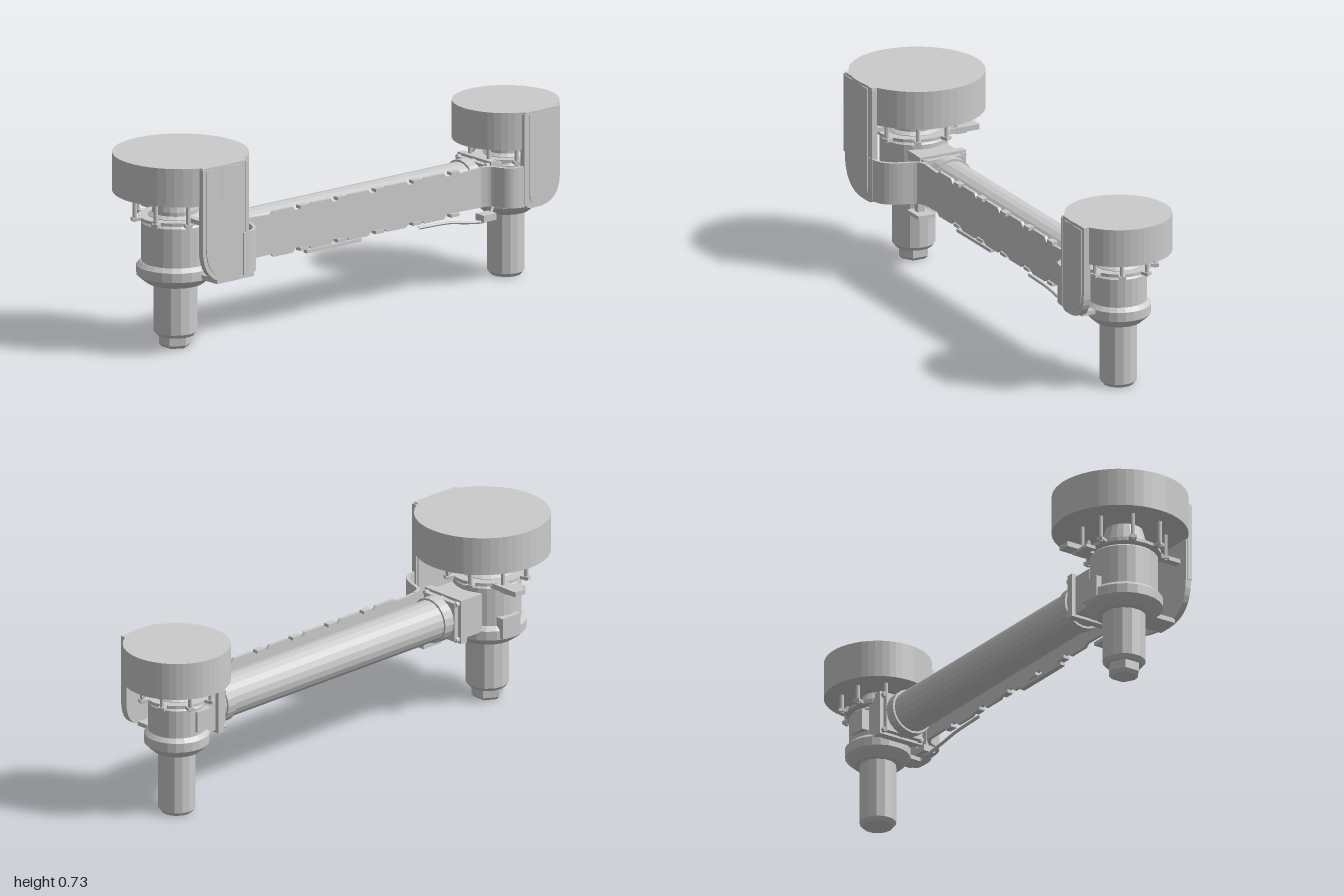
import * as THREE from 'three';

const mat = new THREE.MeshStandardMaterial({ color: 0xcccccc, flatShading: true, side: THREE.DoubleSide });

export function createModel() {
  const root = new THREE.Group();

  const add = (parent, name, geo, x = 0, y = 0, z = 0) => {
    const m = new THREE.Mesh(geo, mat);
    m.name = name;
    m.position.set(x, y, z);
    parent.add(m);
    return m;
  };
  const box = (p, name, w, h, d, x, y, z) => add(p, name, new THREE.BoxGeometry(w, h, d), x, y, z);
  // Upright turned part from [radius, height] pairs
  const turned = (p, name, pts, seg, x = 0) =>
    add(p, name, new THREE.LatheGeometry(pts.map(([r, y]) => new THREE.Vector2(r, y)), seg), x);
  // Vertical plate in x/y, extruded towards +z
  const plate = (p, name, shape, depth, z) =>
    add(p, name, new THREE.ExtrudeGeometry(shape, { depth, bevelEnabled: false, curveSegments: 8 }), 0, 0, z);
  const polygon = pts => new THREE.Shape(pts.map(([x, y]) => new THREE.Vector2(x, y)));
  const tube = (p, name, pts, r) =>
    add(p, name, new THREE.TubeGeometry(new THREE.CatmullRomCurve3(pts.map(q => new THREE.Vector3(...q))), 24, r, 6));
  // Upright wall that follows a path in x/z
  const wall = (p, name, path, y, h, t) => {
    const pts = new THREE.SplineCurve(path.map(([x, z]) => new THREE.Vector2(x, -z))).getPoints(16);
    const off = pts.map((q, i) => {
      const a = pts[Math.max(i - 1, 0)], b = pts[Math.min(i + 1, 16)];
      const d = b.clone().sub(a).normalize();
      return new THREE.Vector2(q.x - d.y * t, q.y + d.x * t);
    });
    const geo = new THREE.ExtrudeGeometry(new THREE.Shape([...pts, ...off.reverse()]), { depth: h, bevelEnabled: false });
    return add(p, name, geo.rotateX(-Math.PI / 2), 0, y, 0);
  };
  // Cover outline: straight top, large round lower outer corner
  const coverShape = (inner, outer, bottom, top, r) => {
    const s = Math.sign(outer - inner), c = Math.min(0.03, r);
    const sh = new THREE.Shape();
    sh.moveTo(inner, top);
    sh.lineTo(outer, top);
    sh.lineTo(outer, bottom + r);
    sh.quadraticCurveTo(outer, bottom, outer - s * r, bottom);
    sh.lineTo(inner + s * c, bottom);
    sh.quadraticCurveTo(inner, bottom, inner, bottom + c);
    sh.closePath();
    return sh;
  };

  // One joint: drum, neck, housing, flange, motor, standoffs
  const joint = (name, o) => {
    const g = new THREE.Group();
    g.name = name;
    root.add(g);
    add(g, 'drum', new THREE.CylinderGeometry(o.drumR, o.drumR, o.top - o.drumY, 48), o.drumX, (o.top + o.drumY) / 2, 0);
    const { R, F, M, x, hy, drumY } = o;
    turned(g, 'neck', [[0, hy], [R * 0.8, hy], [R * 0.8, hy + 0.02], [R * 0.68, hy + 0.03],
      [R * 0.68, hy + 0.045], [R * 0.55, drumY]], 20, x);
    turned(g, 'housing', [[0, 0.3], [R, 0.3], [R, hy - 0.008], [R - 0.008, hy], [0, hy]], 24, x);
    turned(g, 'flange', [[0, 0.243], [F * 0.72, 0.243], [F * 0.9, 0.262], [F, 0.275], [F, 0.31], [F - 0.015, 0.325], [0, 0.325]], 24, x);
    turned(g, 'motor', [[0, o.motorY], [M - 0.012, o.motorY], [M, o.motorY + 0.014], [M, 0.25], [0, 0.25]], 14, x);
    // Toothed mounting ring and hanging standoffs
    const ringY = hy + 0.012;
    add(g, 'mountRing', new THREE.CylinderGeometry(R + 0.012, R + 0.012, 0.012, 24), x, ringY, 0);
    const n = 8;
    for (let i = 0; i < n; i++) {
      const a = (i + 0.5) / n * Math.PI * 2, c = Math.cos(a), s = Math.sin(a);
      add(g, 'standoff', new THREE.CylinderGeometry(0.008, 0.008, drumY - ringY + 0.01, 8),
        x + c * (R + 0.03), (drumY + ringY - 0.01) / 2, s * (R + 0.03));
      const arm = box(g, 'standoffArm', 0.06, 0.012, 0.025, x + c * (R + 0.012), ringY, s * (R + 0.012));
      arm.rotation.y = -a;
    }
    return g;
  };

  const big = joint('largeJoint', { x: -0.775, drumX: -0.75, drumR: 0.25, drumY: 0.585, top: 0.73, R: 0.125, F: 0.143, M: 0.08, hy: 0.48, motorY: 0.045 });
  const small = joint('smallJoint', { x: 0.8, drumX: 0.8, drumR: 0.197, drumY: 0.515, top: 0.657, R: 0.105, F: 0.12, M: 0.068, hy: 0.44, motorY: 0 });

  // Stepped hexagonal motor end
  turned(big, 'motorEnd', [[0, 0], [0.048, 0], [0.06, 0.012], [0.06, 0.045], [0, 0.045]], 6, -0.775);
  // Rear stop lever and rear connector on the large joint
  box(big, 'stopLever', 0.05, 0.02, 0.13, -0.72, 0.487, -0.165);
  box(big, 'stopLeverEnd', 0.09, 0.012, 0.04, -0.75, 0.475, -0.16);
  box(big, 'rearConnector', 0.09, 0.08, 0.05, -0.76, 0.32, -0.118);
  box(small, 'rearConnector', 0.07, 0.08, 0.03, 0.77, 0.38, -0.1);

  // Side covers: thin plate, raised inner panel and rim blocks
  plate(big, 'cover', coverShape(-0.64, -0.85, 0.285, 0.73, 0.14), 0.023, 0.222);
  plate(big, 'coverPanel', coverShape(-0.67, -0.835, 0.305, 0.72, 0.12), 0.006, 0.243);
  box(big, 'coverEdge', 0.014, 0.42, 0.02, -0.64, 0.515, 0.238);
  box(big, 'coverEdge', 0.014, 0.3, 0.02, -0.846, 0.575, 0.238);
  box(big, 'coverStrut', 0.03, 0.016, 0.12, -0.8, 0.508, 0.17);
  box(big, 'coverStrut', 0.1, 0.018, 0.12, -0.72, 0.288, 0.17);
  plate(small, 'cover', coverShape(0.73, 0.895, 0.293, 0.657, 0.11), 0.028, 0.166);
  plate(small, 'coverPanel', coverShape(0.75, 0.88, 0.31, 0.645, 0.1), 0.006, 0.192);
  box(small, 'coverEdge', 0.012, 0.34, 0.02, 0.73, 0.48, 0.186);
  box(small, 'coverStrut', 0.07, 0.016, 0.1, 0.8, 0.302, 0.12);

  // Curved walls joining the covers to the arm panel
  wall(big, 'curvedWall', [[-0.5, 0.09], [-0.54, 0.11], [-0.565, 0.18], [-0.6, 0.225], [-0.66, 0.238]], 0.298, 0.16, 0.012);
  wall(small, 'curvedWall', [[0.6, 0.09], [0.64, 0.11], [0.665, 0.16], [0.69, 0.178], [0.74, 0.183]], 0.305, 0.15, -0.012);

  // Arm tube with end sockets
  const arm = new THREE.Group();
  arm.name = 'arm';
  root.add(arm);
  const alongX = (name, r, x0, x1, seg) =>
    add(arm, name, new THREE.CylinderGeometry(r, r, x1 - x0, seg).rotateZ(Math.PI / 2), (x0 + x1) / 2, 0.38, 0);
  alongX('armTube', 0.078, -0.6, 0.7, 20);
  for (const [x, s] of [[-0.5, -1], [0.6, 1]]) {
    alongX('collar', 0.086, x - 0.02, x + 0.02, 20);
    box(arm, 'socket', 0.14, 0.15, 0.16, x + s * 0.1, 0.38, 0);
    box(arm, 'endPlate', 0.03, 0.17, 0.19, x + s * 0.065, 0.38, 0);
    for (const y of [0.31, 0.45]) for (const z of [-0.08, 0.08])
      add(arm, 'bolt', new THREE.CylinderGeometry(0.01, 0.01, 0.04, 8).rotateZ(Math.PI / 2), x + s * 0.055, y, z);
  }

  // Front cable panel with scalloped edges
  const upper = [], lower = [];
  const tabs = [-0.34, -0.16, 0.02, 0.2, 0.38];
  for (const x of tabs) {
    upper.push([x - 0.065, 0.452], [x - 0.05, 0.463], [x + 0.04, 0.463], [x + 0.055, 0.447]);
    lower.push([x - 0.065, 0.302], [x - 0.05, 0.29], [x + 0.04, 0.29], [x + 0.055, 0.307]);
  }
  plate(arm, 'cablePanel', polygon([[-0.52, 0.3], ...lower, [0.62, 0.303], [0.62, 0.455], ...upper.reverse(), [-0.52, 0.458]]), 0.012, 0.09);
  for (const x of tabs) for (const y of [0.457, 0.298])
    box(arm, 'clip', 0.04, 0.012, 0.025, x + 0.09, y, 0.095);

  // Underside strips, bracket and loose cable
  box(arm, 'lowerStrip', 0.26, 0.012, 0.02, -0.11, 0.284, 0.1);
  box(arm, 'lowerBracket', 0.09, 0.014, 0.07, -0.55, 0.25, 0.09);
  box(arm, 'bracketStem', 0.025, 0.05, 0.03, -0.56, 0.275, 0.09);
  tube(arm, 'cable', [[0.3, 0.278, 0.1], [0.45, 0.272, 0.1], [0.54, 0.255, 0.095], [0.64, 0.25, 0.09], [0.67, 0.29, 0.08]], 0.006);
  box(arm, 'cableClamp', 0.06, 0.025, 0.05, 0.63, 0.262, 0.09);

  return root;
}
